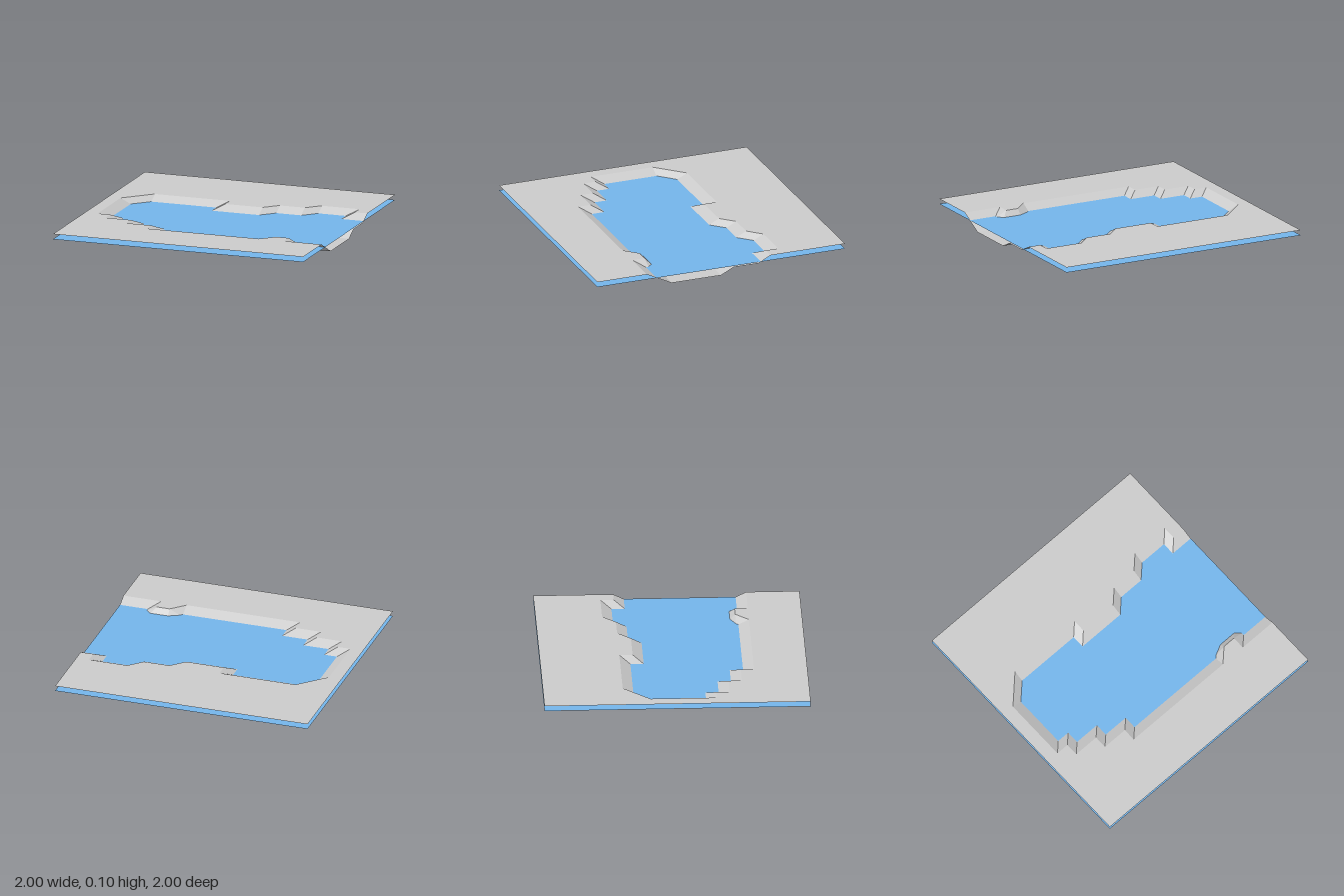
import * as THREE from 'three';

const CELL = 0.1, LAND = 0.1, SHALLOW = 0.05, WATER = 0.06;

// Lake outline in grid cells: columns up to x share a shore span [north, south] along z
const shore = [
  { to: -9 },
  { to: -8, span: [-2, 2] },
  { to: -7, span: [-3, 3] },
  { to: -6, span: [-3, 3] },
  { to: -4, span: [-3, 4] },
  { to: -2, span: [-3, 5] },
  { to: 2, span: [-2, 5] },
  { to: 5, span: [-3, 5] },
  { to: 7, span: [-4, 4] },
  { to: 8, span: [-4, 5] },
  { to: 10, span: [-3, 5] },
];
// x = -5, -4 reach further south than -7, -6; x = -3 starts the long south shore
const columnSpan = (x) => shore.find((s) => x <= s.to).span;

// The deep channel runs to the +x edge and narrows at its inner end
const channelSpan = (x) => (x < -3 ? null : x < -1 ? [1, 3] : [0, 4]);

const inside = (z, span) => span && z >= span[0] && z <= span[1];

function groundHeight(x, z) {
  if (inside(z, channelSpan(x))) return 0;
  return inside(z, columnSpan(x)) ? SHALLOW : LAND;
}

export function createModel() {
  const model = new THREE.Group();
  model.name = 'lakeTile';

  // Ground: stepped height grid with a flat-shaded lake bed
  const groundGeometry = new THREE.PlaneGeometry(2, 2, 20, 20).rotateX(-Math.PI / 2);
  const p = groundGeometry.attributes.position;
  for (let i = 0; i < p.count; i++) {
    const x = Math.round(p.getX(i) / CELL), z = Math.round(p.getZ(i) / CELL);
    p.setY(i, groundHeight(x, z));
  }
  const flatGround = groundGeometry.toNonIndexed();
  flatGround.computeVertexNormals();
  const ground = new THREE.Mesh(flatGround, new THREE.MeshStandardMaterial({
    color: 0xcccccc, flatShading: true, side: THREE.DoubleSide,
  }));
  ground.name = 'ground';
  model.add(ground);

  // Water: one flat sheet across the whole tile
  const water = new THREE.Mesh(
    new THREE.PlaneGeometry(2, 2).rotateX(-Math.PI / 2),
    new THREE.MeshStandardMaterial({ color: 0x74b5eb, side: THREE.DoubleSide }),
  );
  water.name = 'water';
  water.position.y = WATER;
  model.add(water);

  return model;
}
